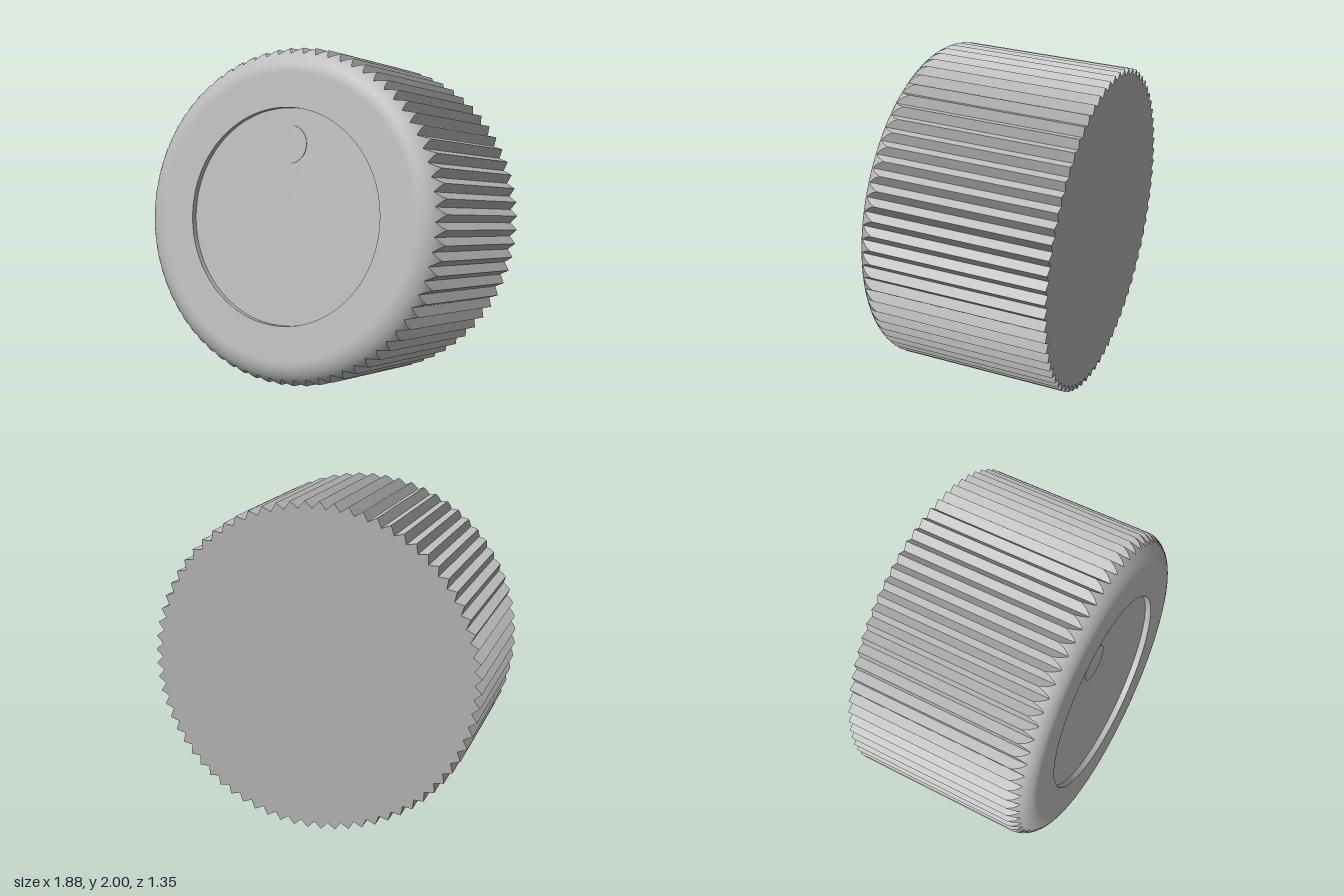
import * as THREE from 'three';

const TEETH = 72, STEPS = 3;             // teeth round the rim, slices per tooth flank
const PEAK = 0.94, VALLEY = 0.9;         // tooth tip and groove radii
const DEPTH = 1.12, FILLET = 0.15;       // body length and front rounding
const FLAT = 0.795;                      // radius where the rounding meets the flat front
const RECESS = 0.6, FLOOR = 1.085;       // dished centre
const TILT = THREE.MathUtils.degToRad(8);

// Zigzag outline, counter-clockwise, with a tooth tip at the top
function toothOutline() {
  const corner = (i) => {
    const a = Math.PI / 2 + (i * Math.PI) / TEETH, r = i % 2 ? VALLEY : PEAK;
    return new THREE.Vector2(r * Math.cos(a), r * Math.sin(a));
  };
  const pts = [];
  for (let i = 0; i < TEETH * 2; i++)
    for (let s = 0; s < STEPS; s++) pts.push(corner(i).lerp(corner(i + 1), s / STEPS));
  return pts;
}

// Angle on the rounding at which radius r is reached
const filletAngle = (r) => Math.acos((r - FLAT) / FILLET);

// Straight flat-sided teeth ending on the rounding
function teethGeometry(pts) {
  const pos = [];
  const front = (p) => DEPTH - FILLET + FILLET * Math.sin(filletAngle(p.length()));
  pts.forEach((a, i) => {
    const b = pts[(i + 1) % pts.length], za = front(a), zb = front(b);
    pos.push(a.x, a.y, 0, b.x, b.y, 0, b.x, b.y, zb);
    pos.push(a.x, a.y, 0, b.x, b.y, zb, a.x, a.y, za);
  });
  const g = new THREE.BufferGeometry();
  g.setAttribute('position', new THREE.Float32BufferAttribute(pos, 3));
  g.computeVertexNormals();
  return g;
}

// Smooth rounded rim running into the flat front ring
function bezelGeometry(pts) {
  const ROWS = 10, n = pts.length, pos = [], nor = [], idx = [];
  for (let k = 0; k <= ROWS + 1; k++) {
    for (const p of pts) {
      const d = p.clone().normalize();
      const t = Math.min(k / ROWS, 1);
      const a = THREE.MathUtils.lerp(filletAngle(p.length()), Math.PI / 2, t);
      const r = k > ROWS ? RECESS : FLAT + FILLET * Math.cos(a);
      pos.push(d.x * r, d.y * r, DEPTH - FILLET + FILLET * Math.sin(a));
      nor.push(d.x * Math.cos(a), d.y * Math.cos(a), Math.sin(a));
    }
  }
  for (let k = 0; k <= ROWS; k++)
    for (let i = 0; i < n; i++) {
      const a = k * n + i, b = k * n + ((i + 1) % n);
      idx.push(a, b, b + n, a, b + n, a + n);
    }
  const g = new THREE.BufferGeometry();
  g.setAttribute('position', new THREE.Float32BufferAttribute(pos, 3));
  g.setAttribute('normal', new THREE.Float32BufferAttribute(nor, 3));
  g.setIndex(idx);
  return g;
}

export function createModel() {
  const grey = new THREE.MeshStandardMaterial({ color: 0xbcbcbc });
  grey.name = 'light grey';

  const knob = new THREE.Group();
  knob.name = 'knob';
  const add = (name, geometry) => {
    const mesh = new THREE.Mesh(geometry, grey);
    mesh.name = name;
    knob.add(mesh);
    return mesh;
  };

  const outline = toothOutline();
  add('gripTeeth', teethGeometry(outline));
  add('frontBezel', bezelGeometry(outline));
  add('backFace', new THREE.ShapeGeometry(new THREE.Shape(outline)).rotateY(Math.PI));

  // Dished centre: inward-facing wall and floor
  const wall = [new THREE.Vector2(RECESS, DEPTH), new THREE.Vector2(RECESS, FLOOR)];
  add('recessWall', new THREE.LatheGeometry(wall, 144).rotateX(Math.PI / 2));
  add('recessFloor', new THREE.CircleGeometry(RECESS, 144)).position.z = FLOOR;

  // Thin round index mark near the top of the floor
  const mark = new THREE.CylinderGeometry(0.105, 0.105, 0.004, 48).rotateX(Math.PI / 2);
  add('indexMark', mark).position.set(0, 0.4, FLOOR + 0.002);

  // Lean back so the front looks slightly upward
  knob.rotation.x = -TILT;
  knob.position.set(0, 0.931, -0.545);

  const model = new THREE.Group();
  model.name = 'ribbedKnob';
  model.add(knob);
  return model;
}
